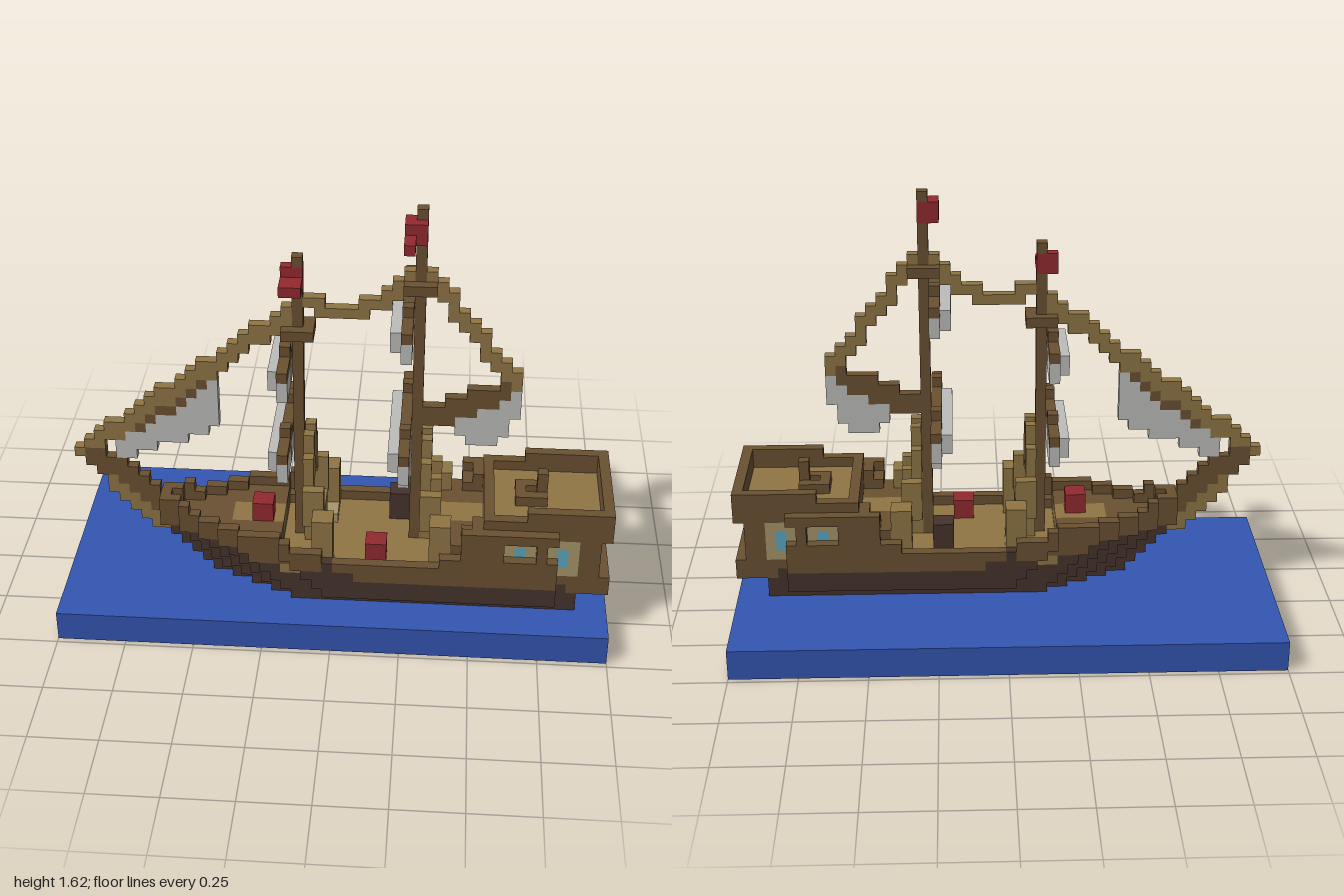
import * as THREE from 'three';
import { mergeGeometries } from 'three/addons/utils/BufferGeometryUtils.js';

const U = 1 / 26; // edge of one block
const color = (name, hex) => {
  const m = new THREE.MeshStandardMaterial({ color: hex });
  m.name = name;
  return m;
};

export function createModel() {
  const M = {
    water: color('water blue', 0x3456b2),
    dark: color('dark hull wood', 0x46332c),
    wood: color('brown wood', 0x6b5132),
    tan: color('tan wood', 0x8f7545),
    pale: color('pale wood', 0xa6966a),
    sail: color('sail grey', 0xbdbdbb),
    red: color('red', 0x922a2f),
    glass: color('window blue', 0x5aa8c4),
  };
  const cells = new Map();
  const key = (i, j, k) => (i + 5) * 10000 + (j + 5) * 100 + k + 50;

  // Fill an inclusive block range: i along the ship, j up, k sideways from the keel line
  const fill = (part, mat, i0, i1, j0, j1, k0, k1) => {
    for (let i = i0; i <= i1; i++)
      for (let j = j0; j <= j1; j++)
        for (let k = k0; k <= k1; k++) cells.set(key(i, j, k), { i, j, k, part, mat });
  };
  const both = (part, mat, i0, i1, j0, j1, k0, k1) => {
    fill(part, mat, i0, i1, j0, j1, k0, k1);
    fill(part, mat, i0, i1, j0, j1, -k1, -k0);
  };
  // Run of columns in the keel plane: [i, lowest j, highest j]
  const columns = (part, mat, list) => list.forEach(([i, a, b]) => fill(part, mat, i, i, a, b, 0, 0));

  // Hull outline: half width at each station, the bow drawing back towards the keel
  const starts = [9, 9, 11, 13, 15, 17, 21];
  const half = (i, j) => {
    const shift = Math.max(0, 8 - j);
    let h = -1;
    starts.forEach((s, n) => { if (i >= s + shift) h = n; });
    if (i >= 47) h = Math.min(h, 5);
    return j === 3 ? Math.min(h, 5) : h;
  };
  const railTop = (i) => (i < 12 ? 10 : i < 22 ? 9 : i < 25 ? 8 : i < 37 ? 7 : i === 37 ? 8 : 10);
  for (let i = 9; i <= 48; i++) {
    for (let j = 3; j <= 10; j++) {
      const h = half(i, j);
      if (h < 0) continue;
      const dark = j < 6 || (j === 6 && i < 28) || (j === 7 && i < 18);
      const deck = i < 21 ? 8 : i < 36 ? 6 : 8;
      if (j <= deck) fill('hull', dark ? 'dark' : 'wood', i, i, j, j, -h, h);
      else if (j <= railTop(i) && i < 40) {
        const inner = Math.min(h, half(i - 1, j) + 1);
        both('bulwark', 'wood', i, i, j, j, Math.max(0, inner), h);
      }
    }
  }
  // Decks
  fill('mainDeck', 'tan', 21, 35, 6, 6, -5, 5);
  fill('foreDeck', 'tan', 16, 20, 8, 8, -1, 1);
  fill('quarterDeck', 'wood', 36, 39, 8, 9, -5, 5);
  fill('quarterDeck', 'tan', 36, 39, 9, 9, -1, 1);
  both('quarterRail', 'wood', 38, 39, 10, 10, 4, 5);
  both('quarterRail', 'wood', 39, 39, 11, 11, 4, 5);
  both('gunPort', 'dark', 25, 25, 7, 7, 6, 6);

  // Stern ledge and rudder
  fill('sternLedge', 'wood', 48, 51, 5, 6, -5, 5);
  fill('rudder', 'wood', 49, 49, 3, 4, 0, 0);

  // Cabin with recessed side bays and stern windows
  fill('cabin', 'wood', 40, 49, 7, 10, -5, 5);
  both('cabinSill', 'wood', 40, 46, 6, 6, 6, 6);
  for (const i of [40, 41, 45]) both('cabinPillar', 'wood', i, i, 7, 10, 6, 6);
  both('cabinEave', 'wood', 38, 46, 11, 11, 6, 6);
  for (const i of [43, 47]) {
    both('sidePanel', 'pale', i - 1, i + 1, 7, 10, 5, 5);
    both('sideWindow', 'glass', i, i, 8, 9, 5, 5);
  }
  both('sternPanel', 'pale', 49, 49, 7, 10, 3, 3);
  fill('sternPanel', 'pale', 49, 49, 7, 10, -1, 1);
  fill('sternWindow', 'glass', 49, 49, 8, 10, 0, 0);
  both('sternPillar', 'wood', 50, 50, 7, 10, 4, 5);
  both('sternPillar', 'wood', 50, 50, 7, 10, 2, 2);

  // Poop deck with rim and wheel
  fill('poopDeck', 'wood', 40, 51, 11, 11, -5, 5);
  fill('poopDeck', 'tan', 41, 50, 11, 11, -4, 4);
  both('poopRim', 'wood', 40, 51, 12, 12, 5, 5);
  both('poopRim', 'wood', 44, 51, 13, 13, 5, 5);
  fill('poopRim', 'wood', 40, 40, 12, 12, -5, 5);
  fill('poopRim', 'wood', 51, 51, 12, 13, -5, 5);
  both('wheelStand', 'wood', 43, 45, 12, 12, 1, 1);
  fill('wheelStand', 'wood', 43, 43, 12, 12, 0, 0);
  fill('wheelStand', 'wood', 45, 45, 12, 14, 0, 0);

  // Bowsprit and the stay beneath it
  columns('bowStay', 'tan', [[4, 11, 12], [5, 10, 11], [6, 9, 10], [7, 8, 9], [8, 7, 8], [9, 7, 7]]);
  columns('bowsprit', 'wood', [[1, 15, 15], [2, 14, 15], [3, 13, 15], [4, 13, 14], [5, 12, 14],
    [6, 11, 13], [7, 10, 12], [8, 9, 11]]);

  // Jib hung below the forestay
  const stay = (i) => Math.round(16 + (i - 2) * 0.79);
  for (let i = 1; i <= 21; i++) columns('foreStay', 'tan', [[i, stay(i) - (i > 2 ? 1 : 0), stay(i)]]);
  for (let i = 5; i <= 14; i++) {
    const low = Math.round(15 + (i - 5) * 0.4);
    columns('jib', 'sail', [[i, low, stay(i) - 2]]);
    if (i > 6 && i < 14) columns('jibSpar', 'wood', [[i, stay(i) - 2, stay(i) - 2]]);
  }

  // Masts with crosstrees and shrouds
  const mast = (i, top, tree) => {
    fill('mast', 'wood', i, i, 7, top, 0, 0);
    fill('crosstree', 'wood', i - 1, i + 1, tree, tree, -1, 1);
    both('shroud', 'tan', i + 1, i + 1, 14, 18, 1, 1);
    both('shroud', 'tan', i + 1, i + 1, 13, 16, 2, 2);
    both('shroud', 'tan', i + 1, i + 2, 10, 13, 3, 3);
    both('shroud', 'tan', i + 2, i + 3, 7, 11, 4, 5);
  };
  mast(22, 36, 29);
  mast(33, 41, 34);
  fill('mastFoot', 'tan', 23, 24, 7, 10, -1, 1);
  fill('mastFoot', 'tan', 34, 35, 7, 13, 0, 0);

  // Yards with square sails: mast station, yard height, half length, lashing offset
  for (const [i, j, h, n] of [[22, 19, 6, 3], [22, 27, 5, 2], [33, 20, 7, 4], [33, 32, 6, 3]]) {
    fill('yard', 'wood', i - 1, i - 1, j, j, -h, h);
    fill('squareSail', 'sail', i - 1, i - 1, j - 2, j - 1, -h, h);
    fill('squareSail', 'sail', i - 2, i - 2, j - 2, j - 1, 2 - h, h - 2);
    if (h > 6) fill('squareSail', 'sail', i - 1, i - 1, j - 3, j - 3, 1 - h, h - 1);
    both('lashing', 'wood', i - 1, i - 1, j - 2, j + 1, n, n);
  }

  // Stays between the masts and down to the gaff
  columns('topStay', 'tan', [[23, 32, 32], [24, 31, 32], [25, 31, 31], [26, 31, 31], [27, 31, 31],
    [28, 31, 32], [29, 32, 32], [30, 32, 33], [31, 33, 34], [32, 34, 35], [34, 34, 35],
    [35, 33, 34], [36, 31, 33], [37, 30, 31], [38, 29, 30], [39, 27, 29], [40, 26, 27],
    [41, 25, 26], [42, 24, 25]]);

  // Gaff and spanker sail
  columns('gaff', 'wood', [[34, 20, 21], [35, 20, 21], [36, 20, 22], [37, 21, 22], [38, 21, 23],
    [39, 22, 23], [40, 22, 23], [41, 23, 24]]);
  columns('spanker', 'sail', [[37, 19, 20], [38, 18, 20], [39, 18, 21], [40, 18, 21],
    [41, 19, 22], [42, 21, 23]]);

  // Flags
  fill('foreFlag', 'red', 21, 22, 34, 35, 0, 0);
  fill('foreFlag', 'red', 21, 22, 34, 34, 1, 2);
  fill('mainFlag', 'red', 32, 33, 39, 40, 0, 1);
  fill('mainFlag', 'red', 32, 32, 39, 39, 2, 3);

  // Deck cargo
  fill('crate', 'red', 18, 19, 9, 10, 0, 1);
  fill('crate', 'red', 29, 30, 7, 8, 3, 4);
  fill('chest', 'dark', 31, 32, 7, 9, -4, -3);
  fill('hatch', 'pale', 24, 25, 7, 7, -3, -2);

  // Turn the blocks into outer faces, one mesh per part and colour
  const sides = [[1, 0, 0], [-1, 0, 0], [0, 1, 0], [0, -1, 0], [0, 0, 1], [0, 0, -1]].map((d) => {
    const v = new THREE.Vector3(...d);
    const face = new THREE.PlaneGeometry(U, U);
    face.applyQuaternion(new THREE.Quaternion().setFromUnitVectors(new THREE.Vector3(0, 0, 1), v));
    if (d[2] === -1) face.copy(new THREE.PlaneGeometry(U, U).rotateY(Math.PI));
    face.translate(v.x * U / 2, v.y * U / 2, v.z * U / 2);
    return { d, face };
  });
  const parts = new Map();
  for (const { i, j, k, part, mat } of cells.values()) {
    for (const { d, face } of sides) {
      if (cells.has(key(i + d[0], j + d[1], k + d[2]))) continue;
      const id = part + '|' + mat;
      if (!parts.has(id)) parts.set(id, []);
      parts.get(id).push(face.clone().translate((i - 25.5) * U, (j + 0.5) * U, (k + 3) * U));
    }
  }
  const group = new THREE.Group();
  group.name = 'sailingShip';
  for (const [id, faces] of parts) {
    const [part, mat] = id.split('|');
    const mesh = new THREE.Mesh(mergeGeometries(faces), M[mat]);
    mesh.name = part;
    group.add(mesh);
  }

  // Slab of water
  const sea = new THREE.Mesh(new THREE.BoxGeometry(2, 3 * U, 25 * U), M.water);
  sea.position.y = 1.5 * U;
  sea.name = 'water';
  group.add(sea);
  return group;
}
